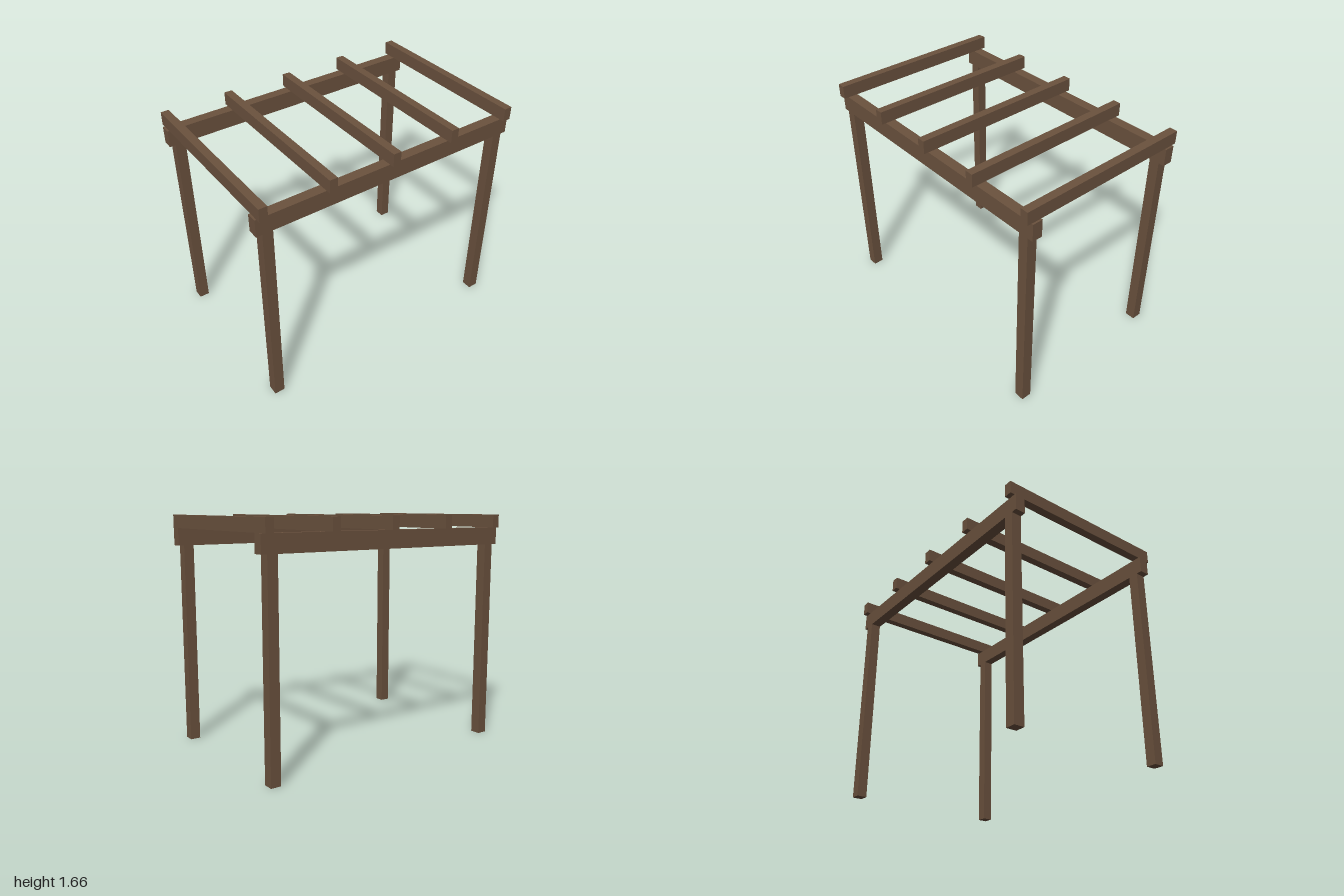
import * as THREE from 'three';

export function createModel() {
  const group = new THREE.Group();
  const wood = new THREE.MeshStandardMaterial({ color: 0x6b523e });
  wood.name = 'brown wood';

  // Timber of a given size, with its underside at y
  const timber = (name, w, h, d, x, y, z) => {
    const mesh = new THREE.Mesh(new THREE.BoxGeometry(w, h, d), wood);
    mesh.name = name;
    mesh.position.set(x, y + h / 2, z);
    group.add(mesh);
  };

  const thick = 0.073, postTop = 1.442, beamTop = 1.565, top = 1.658;
  const postX = 0.922, sideZ = 0.581;

  for (const [end, sz] of [['front', 1], ['back', -1]]) {
    // Corner posts
    for (const [side, sx] of [['Left', 1], ['Right', -1]]) {
      timber(`${end}${side}Post`, thick, postTop, thick, sx * postX, 0, sz * sideZ);
    }
    // Long beam across the posts
    timber(`${end}Beam`, 2, beamTop - postTop, thick, 0, postTop, sz * sideZ);
  }

  // Rafters resting on the beams
  for (let i = 0; i < 5; i++) {
    timber(`rafter${i + 1}`, 0.058, top - beamTop, 1.3, (i - 2) * 0.479, beamTop, 0);
  }
  return group;
}
